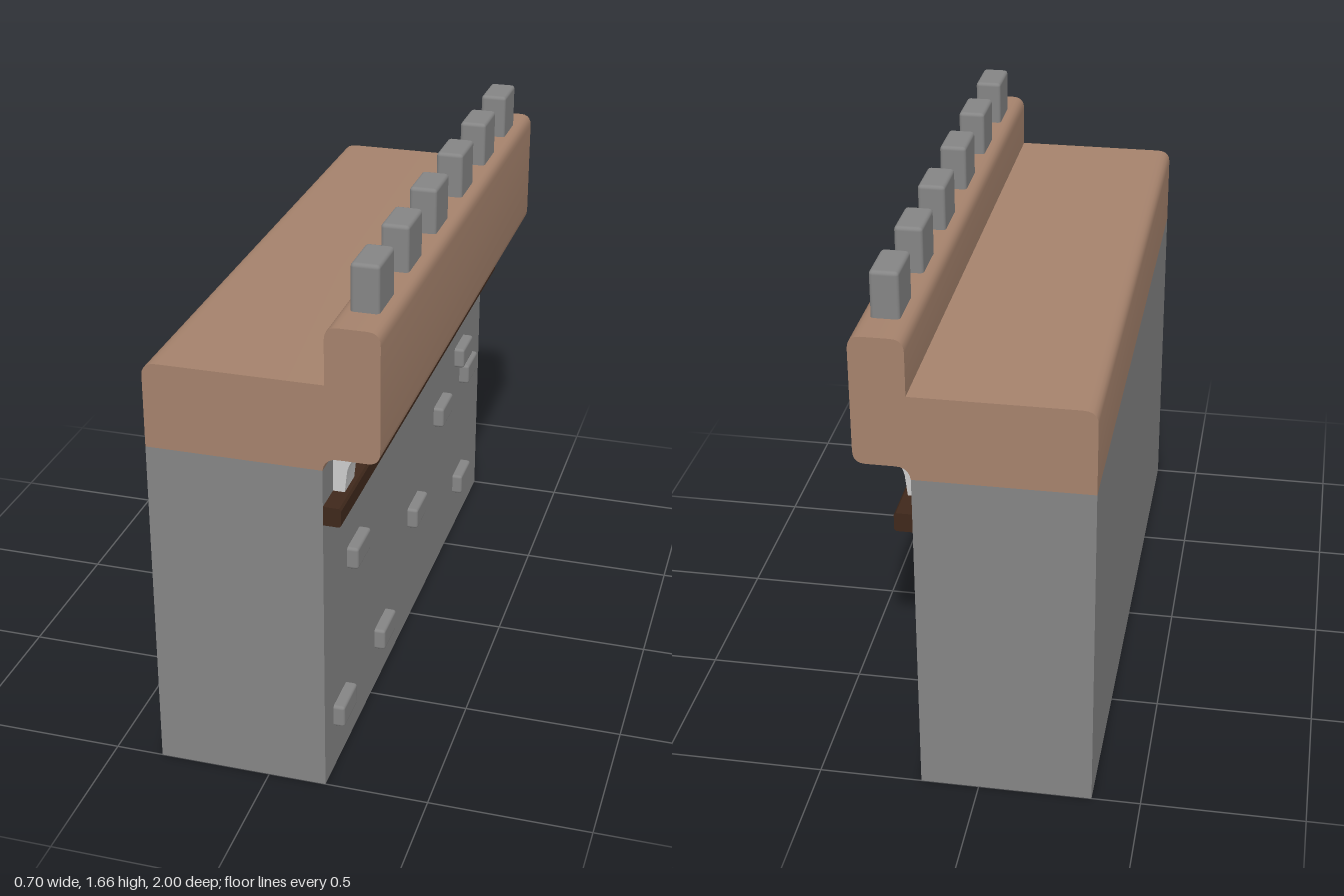
import * as THREE from 'three';
import { toCreasedNormals } from 'three/addons/utils/BufferGeometryUtils.js';
import { RoundedBoxGeometry } from 'three/addons/geometries/RoundedBoxGeometry.js';

const paint = (color, side = THREE.FrontSide) => new THREE.MeshStandardMaterial({ color, side });

function add(parent, name, geometry, material, x = 0, y = 0, z = 0) {
  const mesh = new THREE.Mesh(geometry, material);
  mesh.name = name;
  mesh.position.set(x, y, z);
  parent.add(mesh);
  return mesh;
}

// Extrudes an x-y profile along z, centred on z = 0
function extrudeZ(shape, length) {
  const g = new THREE.ExtrudeGeometry(shape, { depth: length, bevelEnabled: false, curveSegments: 5 });
  g.translate(0, 0, -length / 2);
  return toCreasedNormals(g, 0.6);
}

export function createModel() {
  const model = new THREE.Group();
  model.name = 'battlementWall';
  const stone = paint(0x858585);
  const clay = paint(0xa5826c);
  const wood = paint(0x3f281b);
  const pale = paint(0xcccccc);

  // Hollow wall body: four sides, open underneath, closed above by the parapet
  const body = new THREE.BoxGeometry(0.53, 1.08, 2);
  const index = Array.from(body.index.array);
  body.setIndex([...index.slice(0, 12), ...index.slice(24)]);
  body.clearGroups();
  add(model, 'wallBody', body, paint(0x858585, THREE.DoubleSide), -0.085, 0.54, 0);

  // Walkway and overhanging parapet in one profile
  const cap = new THREE.Shape();
  cap.moveTo(-0.35, 1.08);
  cap.lineTo(0.18, 1.08);
  cap.quadraticCurveTo(0.185, 1.12, 0.225, 1.12);
  cap.lineTo(0.31, 1.12);
  cap.quadraticCurveTo(0.347, 1.12, 0.347, 1.16);
  cap.lineTo(0.347, 1.48);
  cap.quadraticCurveTo(0.347, 1.52, 0.31, 1.52);
  cap.lineTo(0.225, 1.52);
  cap.quadraticCurveTo(0.187, 1.52, 0.187, 1.48);
  cap.lineTo(0.187, 1.345);
  cap.lineTo(-0.305, 1.345);
  cap.quadraticCurveTo(-0.35, 1.345, -0.35, 1.305);
  cap.closePath();
  add(model, 'parapet', extrudeZ(cap, 2), clay);

  // Merlons along the parapet
  const merlon = new RoundedBoxGeometry(0.085, 0.18, 0.16, 2, 0.012);
  [0.8, 0.49, 0.17, -0.165, -0.488, -0.8].forEach((z) => add(model, 'merlon', merlon, stone, 0.267, 1.572, z));

  // Curved corbels under the overhang
  const corbel = new THREE.Shape();
  corbel.moveTo(0.18, 0.965);
  corbel.lineTo(0.215, 0.965);
  corbel.lineTo(0.222, 1.03);
  corbel.quadraticCurveTo(0.226, 1.055, 0.245, 1.078);
  corbel.lineTo(0.277, 1.122);
  corbel.lineTo(0.18, 1.122);
  corbel.closePath();
  const corbelGeometry = extrudeZ(corbel, 0.096);
  [0.853, 0.552, 0.252, 0.003, -0.25, -0.55, -0.85].forEach((z) => add(model, 'corbel', corbelGeometry, pale, 0, 0, z));

  // Chamfered timber ledge carrying the corbels
  const ledge = new THREE.Shape([
    [0.18, 0.905], [0.228, 0.905], [0.234, 0.912], [0.234, 0.958], [0.228, 0.965], [0.18, 0.965],
  ].map(([x, y]) => new THREE.Vector2(x, y)));
  add(model, 'ledge', extrudeZ(ledge, 2), wood);

  // Stones standing proud of the outer face, as [z, y]
  const brick = new RoundedBoxGeometry(0.05, 0.073, 0.142, 2, 0.01);
  [
    [0.692, 0.66], [0.842, 0.19], [0.385, 0.178], [-0.022, 0.406],
    [-0.37, 0.62], [-0.67, 0.715], [-0.755, 0.613], [-0.685, 0.19],
  ].forEach(([z, y]) => add(model, 'raisedStone', brick, stone, 0.19, y, z));

  return model;
}
